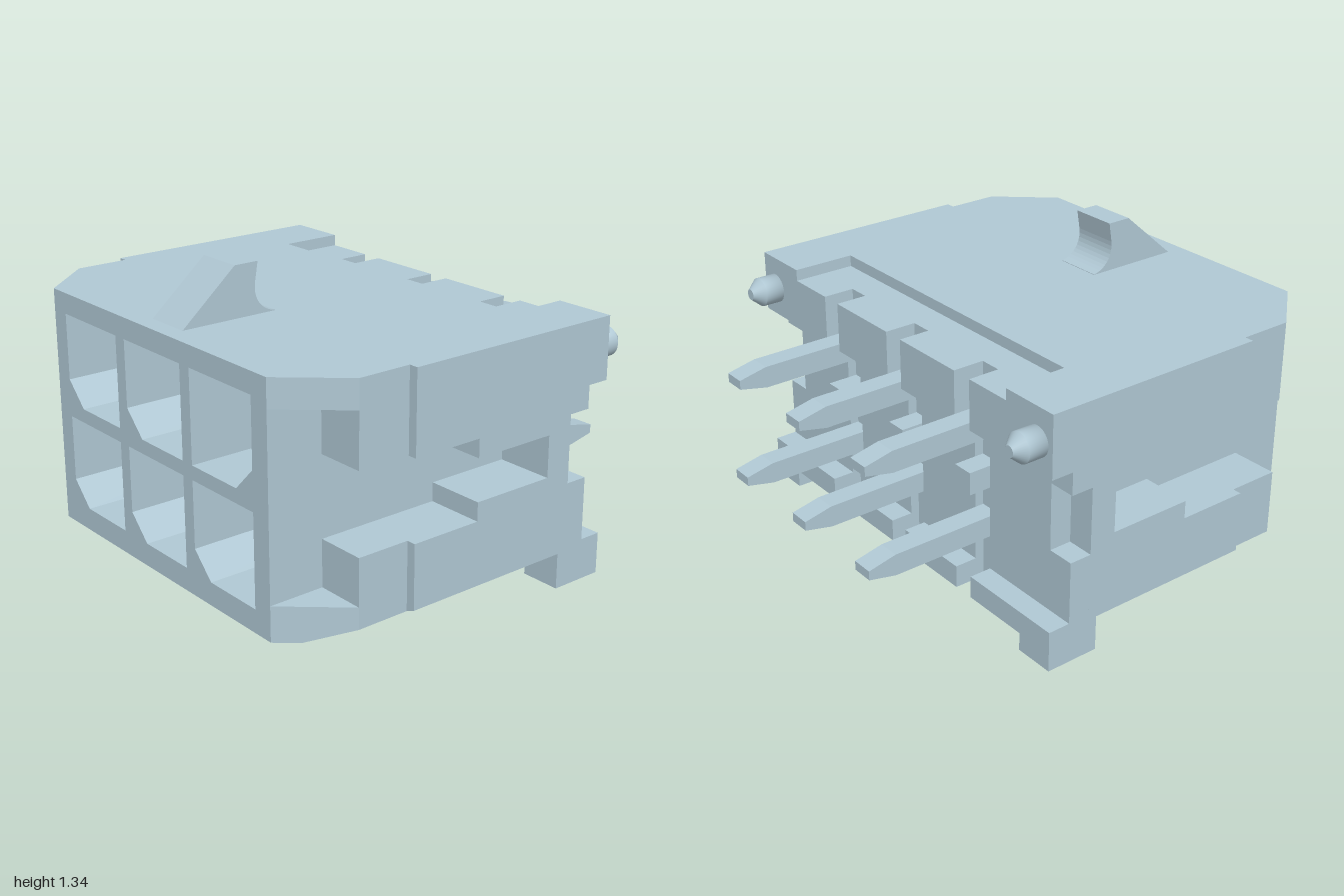
import * as THREE from 'three';

export function createModel() {
  const model = new THREE.Group();
  model.name = 'connectorHeader';
  const plastic = new THREE.MeshStandardMaterial({ color: 0xb0c8d4 });
  plastic.name = 'paleBlueGrey';

  const add = (name, geometry) => {
    const mesh = new THREE.Mesh(geometry, plastic);
    mesh.name = name;
    model.add(mesh);
    return mesh;
  };
  // Box given by its limits on each axis
  const box = (name, x0, x1, y0, y1, z0, z1) =>
    add(name, new THREE.BoxGeometry(x1 - x0, y1 - y0, z1 - z0)
      .translate((x0 + x1) / 2, (y0 + y1) / 2, (z0 + z1) / 2));
  // Same box on both sides
  const pair = (name, x0, x1, ...rest) => {
    box(name, x0, x1, ...rest);
    box(name, -x1, -x0, ...rest);
  };
  const shapeOf = pts => new THREE.Shape(pts.map(p => new THREE.Vector2(...p)));
  const extrude = (shape, depth) =>
    new THREE.ExtrudeGeometry(shape, { depth, bevelEnabled: false, curveSegments: 10 });

  const pinX = [-0.457, 0, 0.457];
  const pinY = [0.38, 0.835];

  // Housing core with six keyed cavities
  const core = shapeOf([[-0.745, 0.08], [0.745, 0.08], [0.745, 1.12], [-0.745, 1.12]]);
  pinY.forEach((y, row) => pinX.forEach((x, col) => {
    const h = 0.197, c = 0.105;
    const keyRight = row === 1 && col === 2;
    const s = keyRight ? -1 : 1;
    const pts = [[-h, h], [-h, -h + c], [-h + c, -h], [h, -h], [h, h]]
      .map(([px, py]) => new THREE.Vector2(x - 0.003 + s * px, y - 0.003 + py));
    core.holes.push(new THREE.Path(pts));
  }));
  add('housingCore', extrude(core, 1.22).translate(0, 0, -0.23));
  box('cavityFloor', -0.73, 0.73, 0.08, 1.07, -0.37, -0.23);

  // Side walls: horizontal slices of a plan outline (x, z)
  const full = [[0.73, -0.27], [1, -0.27], [1, 0.51], [0.96, 0.51], [0.96, 0.745], [0.745, 0.99], [0.73, 0.99]];
  const mid = [[0.73, -0.27], [1, -0.27], [1, 0.51], [0.96, 0.51], [0.96, 0.745], [0.73, 0.745]];
  const upTo = z => [[0.73, -0.27], [1, -0.27], [1, z], [0.73, z]];
  const inner = [[0.73, -0.27], [0.82, -0.27], [0.82, 0.904], [0.745, 0.99], [0.73, 0.99]];
  const outer = [[0.82, -0.27], [1, -0.27], [1, 0.51], [0.96, 0.51], [0.96, 0.745], [0.82, 0.904]];

  const slice = (name, plan, y0, y1, sloped = false) => {
    for (const side of [1, -1]) {
      const pts = plan.map(([x, z]) => [side * x, -z]);
      const g = extrude(shapeOf(pts), y1 - y0).rotateX(-Math.PI / 2).translate(0, y0, 0);
      if (sloped) {
        // Raise the lower edge towards the outside
        const p = g.attributes.position;
        for (let i = 0; i < p.count; i++) {
          if (p.getY(i) < y0 + 0.001) {
            p.setY(i, y0 + Math.max(0, Math.abs(p.getX(i)) - 0.82) * 0.075 / 0.18);
          }
        }
        g.computeVertexNormals();
      }
      add(name, g);
    }
  };
  slice('upperSidePlate', full, 1.0, 1.12);
  slice('upperSideWall', mid, 0.77, 1.0);
  slice('recessStepUpper', upTo(0.19), 0.69, 0.77);
  slice('recessEnd', upTo(-0.19), 0.51, 0.69);
  slice('recessStepLower', upTo(0.19), 0.43, 0.51);
  slice('lowerSideWall', mid, 0.23, 0.43);
  slice('lowerSidePlate', full, 0.155, 0.23);
  slice('lowerPlateInner', inner, 0.08, 0.155);
  slice('lowerPlateChamfer', outer, 0.08, 0.155, true);

  // Rear corners with a small side notch, ledges and feet
  pair('rearCorner', 0.73, 1, 0.08, 1.12, -0.31, -0.27);
  pair('rearCornerInner', 0.73, 0.88, 0.08, 1.12, -0.41, -0.31);
  pair('notchBelow', 0.88, 1, 0.08, 0.455, -0.41, -0.31);
  pair('notchAbove', 0.88, 1, 0.75, 1.12, -0.41, -0.31);
  pair('rearCornerLedge', 0.73, 1, 0.85, 1.12, -0.51, -0.41);
  pair('rearCornerSill', 0.73, 1, 0.08, 0.18, -0.51, -0.41);
  pair('foot', 0.82, 1, 0, 0.08, -0.51, -0.27);

  // Rear wall between the pin slots
  for (const [x0, x1] of [[0.048, 0.409], [0.505, 0.73]]) {
    pair('rearWall', x0, x1, 0.08, 1.07, -0.41, -0.37);
    pair('rearLedge', x0, x1, 0.85, 1.07, -0.51, -0.41);
    pair('rearSill', x0, x1, 0.08, 0.18, -0.51, -0.41);
  }

  // Contact pins, tapered in height at the rear tip, and slot spacers
  const pinProfile = [[-0.25, -0.047], [0.87, -0.047], [0.995, -0.02],
    [0.995, 0.02], [0.87, 0.047], [-0.25, 0.047]];
  for (const x of pinX) {
    for (const y of pinY) {
      add('contactPin', extrude(shapeOf(pinProfile), 0.095)
        .rotateY(Math.PI / 2).translate(x - 0.0475, y, 0));
    }
    box('slotSpacer', x - 0.048, x + 0.048, 0.56, 0.66, -0.51, -0.37);
  }

  // Locating pegs
  const pegProfile = [[0, 0], [0.064, 0], [0.064, 0.085], [0.064, 0.085], [0.024, 0.132], [0.024, 0.132], [0, 0.132]]
    .map(p => new THREE.Vector2(...p));
  for (const x of [-0.912, 0.912]) {
    add('locatingPeg', new THREE.LatheGeometry(pegProfile, 32)
      .rotateX(-Math.PI / 2).translate(x, 0.978, -0.51));
  }

  // Latch ramp with a concave rear face; profile x runs along -z
  const latch = new THREE.Shape();
  latch.moveTo(-0.91, 1.11);
  latch.lineTo(-0.47, 1.11);
  latch.lineTo(-0.47, 1.122);
  latch.bezierCurveTo(-0.53, 1.13, -0.575, 1.18, -0.565, 1.25);
  latch.lineTo(-0.55, 1.336);
  latch.lineTo(-0.66, 1.336);
  latch.lineTo(-0.91, 1.12);
  add('latchRamp', extrude(latch, 0.21).rotateY(Math.PI / 2).translate(-0.107, 0, 0));

  // Underside ribs
  pair('undersideRib', 0.07, 0.222, 0, 0.08, -0.27, 0.755);

  return model;
}
